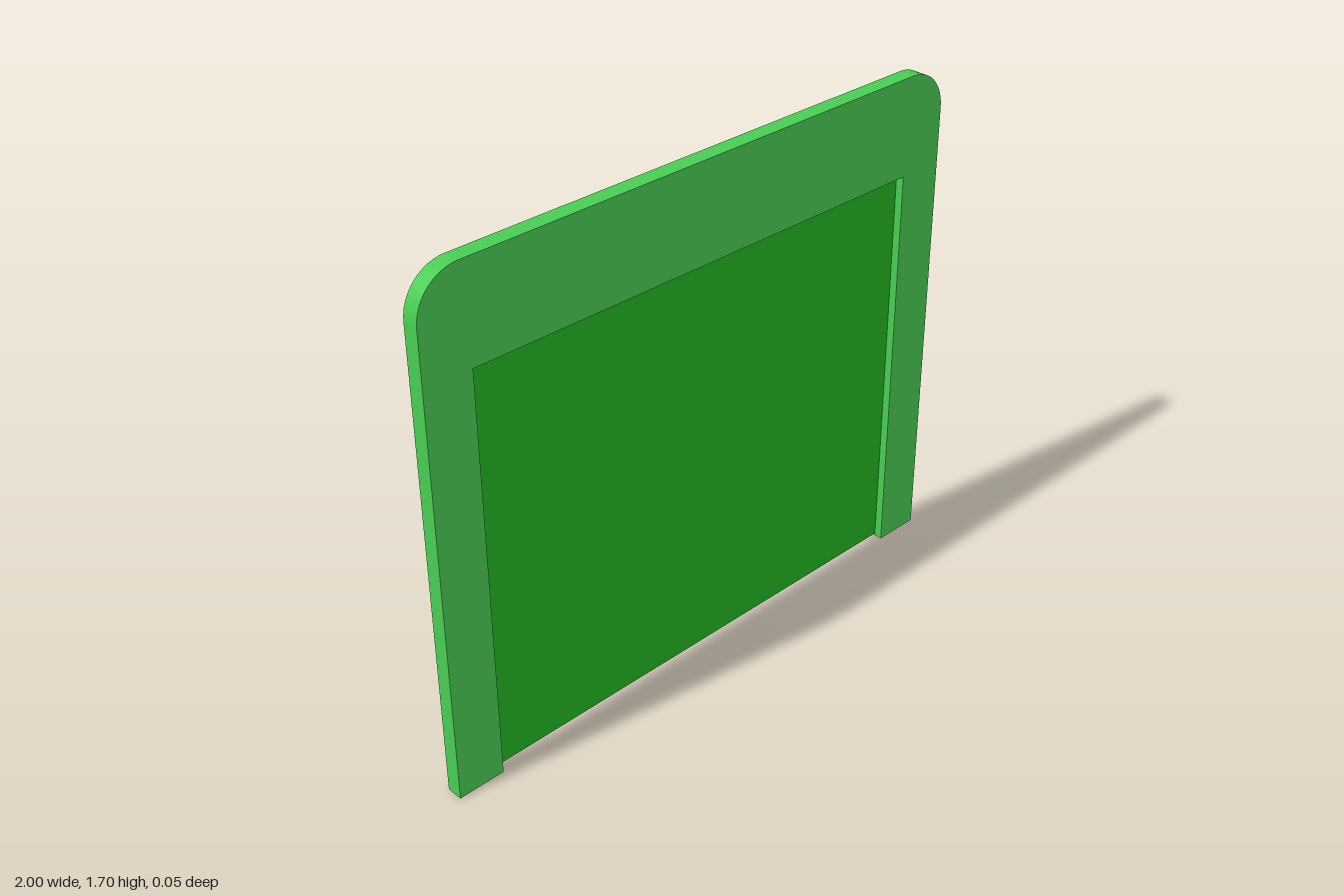
import * as THREE from 'three';

const DEPTH = 0.054, HEIGHT = 1.695, RADIUS = 0.14, INNER = 0.84;

export function createModel() {
  const group = new THREE.Group();

  // Arched surround: two legs and a header with rounded upper corners
  const outline = new THREE.Shape();
  outline.moveTo(INNER, 0);
  outline.lineTo(1, 0);
  outline.absarc(1 - RADIUS, HEIGHT - RADIUS, RADIUS, 0, Math.PI / 2);
  outline.absarc(RADIUS - 1, HEIGHT - RADIUS, RADIUS, Math.PI / 2, Math.PI);
  outline.lineTo(-1, 0);
  outline.lineTo(-INNER, 0);
  outline.lineTo(-INNER, 1.377);
  outline.lineTo(INNER, 1.37);
  const frameGeometry = new THREE.ExtrudeGeometry(outline, {
    depth: DEPTH, bevelEnabled: false, curveSegments: 6,
  });
  frameGeometry.translate(0, 0, -DEPTH / 2);
  const frame = new THREE.Mesh(
    frameGeometry,
    new THREE.MeshStandardMaterial({ color: 0x48cc52, flatShading: true }),
  );
  frame.name = 'frame';
  group.add(frame);

  // Thin sheet filling the opening, halfway through the frame's depth
  const bottom = 0.008, top = 1.369;
  const panel = new THREE.Mesh(
    new THREE.PlaneGeometry(2 * INNER, top - bottom),
    new THREE.MeshStandardMaterial({ color: 0x24b824, side: THREE.DoubleSide }),
  );
  panel.position.y = (top + bottom) / 2;
  panel.name = 'panel';
  group.add(panel);

  return group;
}
